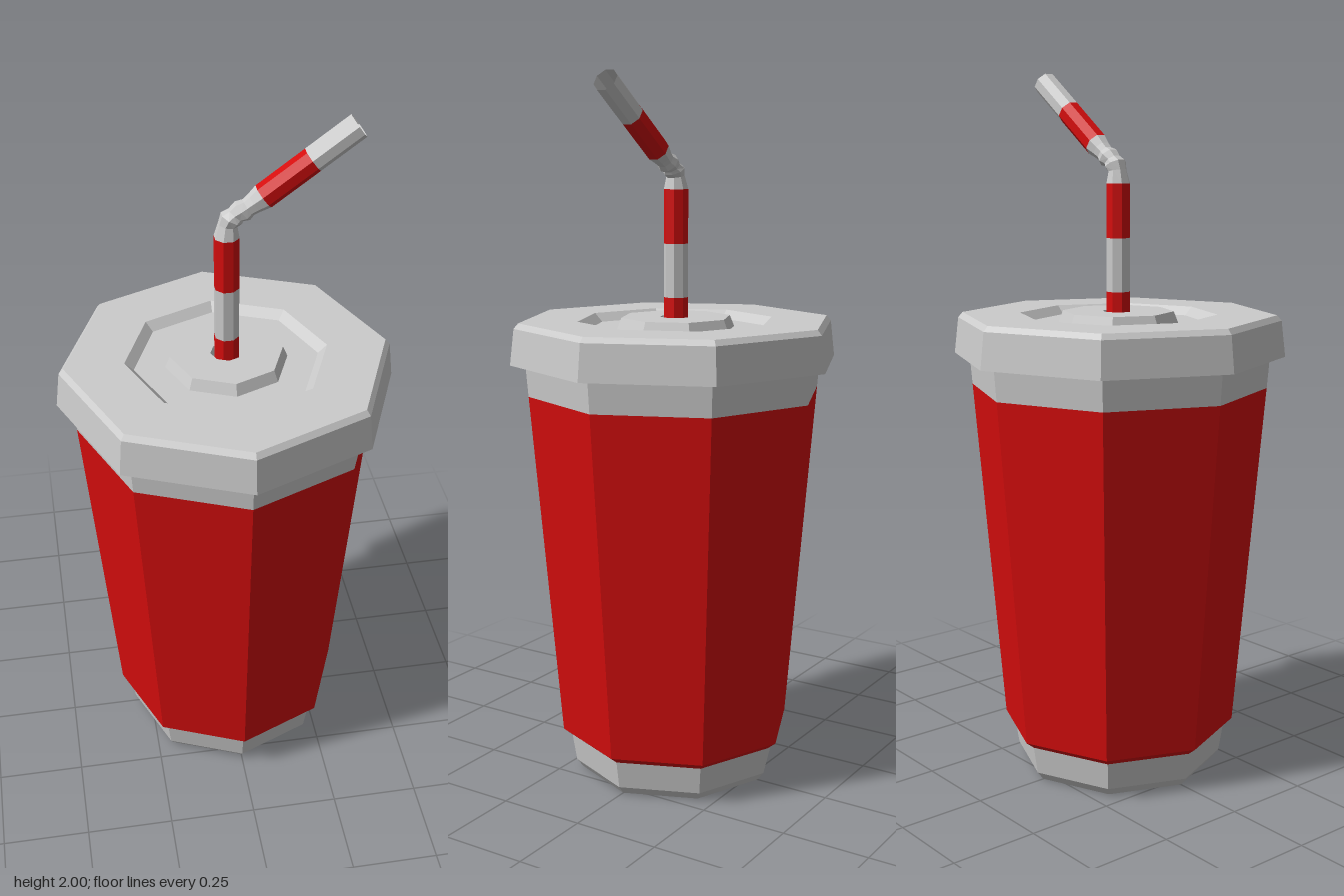
import * as THREE from 'three';

const SIDES = 8;
const material = (color) => new THREE.MeshStandardMaterial({ color, flatShading: true, side: THREE.DoubleSide });
const grey = material(0xcccccc);
const red = material(0xd40d0d);

// Faceted revolved part from [radius, y] pairs, listed from the bottom upward
function lathe(name, points, mat) {
  const geo = new THREE.LatheGeometry(points.map(([r, y]) => new THREE.Vector2(r, y)), SIDES);
  const mesh = new THREE.Mesh(geo, mat);
  mesh.name = name;
  return mesh;
}

// Open tube through rings [x, y, tilt in degrees towards +x, radius]
function tube(name, rings, mat) {
  const pos = [], index = [];
  rings.forEach(([x, y, tilt, r], i) => {
    const t = THREE.MathUtils.degToRad(tilt);
    for (let j = 0; j < SIDES; j++) {
      const a = ((j + 0.5) / SIDES) * Math.PI * 2;
      const u = Math.sin(a) * r;
      pos.push(x + u * Math.cos(t), y - u * Math.sin(t), Math.cos(a) * r);
      if (i === 0) continue;
      const k = (j + 1) % SIDES;
      const lo = (i - 1) * SIDES, hi = i * SIDES;
      index.push(lo + j, lo + k, hi + j, lo + k, hi + k, hi + j);
    }
  });
  const geo = new THREE.BufferGeometry();
  geo.setAttribute('position', new THREE.Float32BufferAttribute(pos, 3));
  geo.setIndex(index);
  geo.computeVertexNormals();
  const mesh = new THREE.Mesh(geo, mat);
  mesh.name = name;
  return mesh;
}

export function createModel() {
  const model = new THREE.Group();
  model.name = 'drinkCup';

  // Cup body: grey foot, red wall, grey upper band
  const cup = new THREE.Group();
  cup.name = 'cup';
  cup.add(
    lathe('cupFoot', [[0, 0], [0.28, 0], [0.3, 0.025], [0.313, 0.105]], grey),
    lathe('cupWall', [[0.313, 0.105], [0.338, 0.125], [0.422, 1.12]], red),
    lathe('cupUpperBand', [[0.422, 1.12], [0.431, 1.23]], grey),
  );

  // Lid: flared skirt, flat top, sunken ring, raised middle and straw hole
  const lid = lathe('lid', [
    [0.43, 1.23], [0.472, 1.21], [0.46, 1.312], [0.447, 1.327],
    [0.281, 1.327], [0.256, 1.303], [0.17, 1.303], [0.157, 1.335],
    [0.045, 1.335], [0.033, 1.3],
  ], grey);

  // Straw: striped upright, ribbed bend, striped slanted end
  const straw = new THREE.Group();
  straw.name = 'straw';
  const R = 0.0345, TILT = 54;
  const upright = (y) => [0, y, 0, R];
  const slanted = (x) => [x, 1.797 + (x - 0.095) * 0.73, TILT, R];
  straw.add(
    tube('strawStripeLow', [upright(1.24), upright(1.39)], red),
    tube('strawPlainLow', [upright(1.39), upright(1.54)], grey),
    tube('strawStripeMiddle', [upright(1.54), upright(1.69)], red),
    tube('strawBend', [
      upright(1.69), [0.003, 1.725, 10, 0.026], [0.012, 1.742, 27, 0.031],
      [0.024, 1.751, 40, 0.025], [0.041, 1.761, 50, 0.031],
      [0.056, 1.77, TILT, 0.025], [0.072, 1.781, TILT, 0.028], slanted(0.095),
    ], grey),
    tube('strawStripeHigh', [slanted(0.095), slanted(0.22)], red),
    tube('strawTip', [slanted(0.22), slanted(0.335)], grey),
  );

  model.add(cup, lid, straw);
  return model;
}
